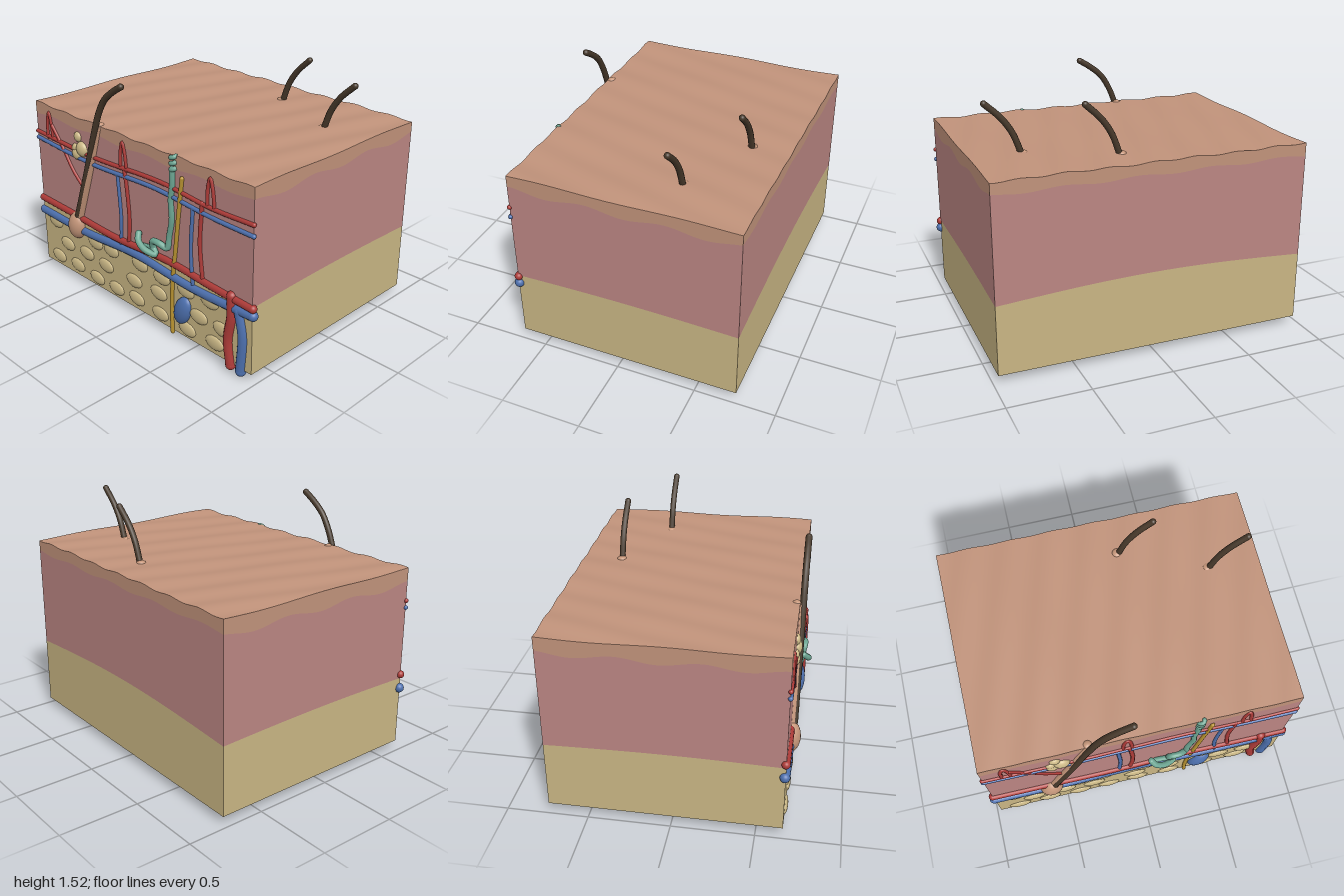
import * as THREE from 'three';

const mat = (name, color) => {
  const m = new THREE.MeshStandardMaterial({ color });
  m.name = name;
  return m;
};

export function createModel() {
  const M = {
    epidermis: mat('epidermis tan', 0xc0927a),
    dermis: mat('dermis pink', 0xba8582),
    fat: mat('fat yellow', 0xc8b583),
    lobule: mat('lobule cream', 0xcdba88),
    artery: mat('artery red', 0xad3b38),
    vein: mat('vein blue', 0x4d70ae),
    gland: mat('gland teal', 0x6ca592),
    nerve: mat('nerve gold', 0xb99331),
    hair: mat('hair brown', 0x46382a),
    follicle: mat('follicle skin', 0xc5967a),
  };
  const model = new THREE.Group();
  model.name = 'skinSection';

  const add = (name, geometry, material, parent = model) => {
    const mesh = new THREE.Mesh(geometry, material);
    mesh.name = name;
    parent.add(mesh);
    return mesh;
  };

  const ball = (name, [x, y, z], [rx, ry, rz], material, tilt = 0, parent = model) => {
    const mesh = add(name, new THREE.SphereGeometry(1, 24, 16), material, parent);
    mesh.position.set(x, y, z);
    mesh.scale.set(rx, ry, rz);
    mesh.rotation.z = tilt;
    return mesh;
  };

  // Smooth round-ended tube; points are [x, y] or [x, y, z]
  const tube = (name, points, r, material, z = 0.66, segments = 48) => {
    const group = new THREE.Group();
    group.name = name;
    model.add(group);
    const pts = points.map((p) => new THREE.Vector3(p[0], p[1], p[2] ?? z));
    const curve = new THREE.CatmullRomCurve3(pts);
    add(name + 'Body', new THREE.TubeGeometry(curve, segments, r, 12), material, group);
    for (const p of [pts[0], pts[pts.length - 1]])
      ball(name + 'End', p.toArray(), [r, r, r], material, 0, group);
  };

  // Tissue layers: boxes whose top and bottom follow wavy surfaces
  const base = () => 0.05;
  const fatTop = (x, z) =>
    0.49 + 0.015 * Math.cos(2 * z) + 0.045 * Math.cos(x * 1.62) * (0.66 - z) / 1.41 - 0.01;
  const dermisTop = (x, z) =>
    1.108 + 0.015 * Math.cos((z - 0.18) * 13) + 0.008 * Math.sin(x * 14);
  const skinTop = (x, z) => 1.197 + 0.005 * Math.sin(24 * x + 7 * z) + 0.002 * Math.sin(9 * x - 4 * z);

  const layer = (name, bottom, top, material) => {
    const g = new THREE.BoxGeometry(1.94, 1, 1.41, 72, 1, 48);
    g.translate(0, 0, -0.045);
    const p = g.attributes.position;
    for (let i = 0; i < p.count; i++) {
      const edge = p.getY(i) > 0 ? top : bottom;
      p.setY(i, edge(p.getX(i), p.getZ(i)));
    }
    g.computeVertexNormals();
    add(name, g, material);
  };
  layer('fatLayer', base, fatTop, M.fat);
  layer('dermisLayer', fatTop, dermisTop, M.dermis);
  layer('epidermisLayer', dermisTop, skinTop, M.epidermis);

  // Fat lobules in rows on the cut face
  const rows = [
    [0.115, [-0.83, -0.62, -0.41, -0.21, -0.01, 0.21, 0.45, 0.68]],
    [0.245, [-0.72, -0.51, -0.31, -0.03, 0.2, 0.55, 0.74]],
    [0.375, [-0.84, -0.62, -0.41, -0.25, 0.03, 0.23, 0.44, 0.64]],
  ];
  for (const [y, xs] of rows)
    xs.forEach((x, i) =>
      ball('fatLobule', [x, y + 0.008 * Math.sin(i * 2), 0.66], [0.073, 0.046, 0.018], M.lobule, 0.06 * Math.sin(i * 3)));

  // Horizontal vessels
  tube('deepArtery', [[-0.97, 0.51], [-0.6, 0.5], [-0.2, 0.485], [0.3, 0.51], [0.65, 0.49], [0.97, 0.478]], 0.025, M.artery, 0.657);
  tube('deepVein', [[-0.97, 0.42], [-0.5, 0.412], [0, 0.442], [0.5, 0.413], [0.97, 0.432]], 0.03, M.vein, 0.655);
  tube('upperArtery', [[-0.97, 0.992], [-0.4, 0.972], [0.25, 1.0], [0.65, 0.975], [0.97, 0.985]], 0.014, M.artery);
  tube('upperVein', [[-0.97, 0.948], [-0.4, 0.922], [0.2, 0.946], [0.65, 0.92], [0.97, 0.918]], 0.014, M.vein);

  // Downward trunks
  tube('arteryTrunk', [[0.815, 0.495], [0.815, 0.36], [0.79, 0.2], [0.81, 0.04]], 0.031, M.artery);
  tube('veinTrunk', [[0.87, 0.42], [0.9, 0.27], [0.885, 0.033]], 0.033, M.vein, 0.655);

  // Connecting vessels
  tube('arteryBranch', [[-0.065, 0.5], [-0.05, 0.65], [-0.065, 0.88], [-0.08, 0.98]], 0.014, M.artery);
  tube('arteryBranch', [[0.585, 0.5], [0.565, 0.73], [0.585, 0.98]], 0.014, M.artery);
  tube('follicleArtery', [[-0.8, 1.07], [-0.69, 0.94], [-0.6, 0.82], [-0.51, 0.74]], 0.013, M.artery);
  tube('veinBranch', [[-0.14, 0.45], [-0.13, 0.65], [-0.148, 0.93]], 0.013, M.vein);
  tube('veinBranch', [[0.505, 0.42], [0.49, 0.65], [0.51, 0.93]], 0.013, M.vein);

  // Capillary loops
  for (const x of [-0.83, -0.09, 0.65])
    tube('capillaryLoop', [[x - 0.025, 0.98], [x - 0.02, 1.09], [x, 1.15], [x + 0.018, 1.09], [x + 0.03, 0.98]], 0.012, M.artery);

  // Cut follicle with its bulb and hair
  tube('follicleSheath', [[-0.57, 0.48, 0.655], [-0.44, 0.84, 0.655], [-0.325, 1.175, 0.64]], 0.035, M.follicle);
  ball('hairBulb', [-0.588, 0.435, 0.66], [0.073, 0.097, 0.06], M.follicle, -0.2);
  tube('mainHair', [[-0.56, 0.52], [-0.44, 0.85], [-0.325, 1.18], [-0.28, 1.29], [-0.22, 1.385], [-0.14, 1.452], [-0.063, 1.5]], 0.02, M.hair, 0.677);

  // Free hairs on the surface
  for (const [x, z] of [[0.14, -0.51], [0.66, -0.285]]) {
    tube('surfaceHair', [[x - 0.02, 1.15], [x, 1.2], [x + 0.045, 1.315], [x + 0.11, 1.41], [x + 0.205, 1.5]], 0.019, M.hair, z);
    ball('hairCollar', [x - 0.015, 1.19, z], [0.03, 0.018, 0.03], M.follicle);
  }

  // Oil gland
  for (const [x, y, r] of [[-0.53, 1.067, 0.033], [-0.49, 0.995, 0.05], [-0.55, 0.95, 0.04], [-0.56, 0.985, 0.03]])
    ball('oilGlandLobe', [x, y, 0.66], [r, r, r * 0.65], M.lobule);

  // Sweat gland: spiral pore, straight duct, coiled end
  const spiral = [];
  for (let i = 0; i <= 20; i++) {
    const a = (i / 20) * Math.PI * 5;
    spiral.push([0.352 + 0.017 * Math.cos(a), 1.195 - 0.0045 * i, 0.655 + 0.015 * Math.sin(a)]);
  }
  tube('sweatPore', spiral, 0.014, M.gland, 0.66, 100);
  tube('sweatDuct', [
    [0.345, 1.11], [0.345, 1.02], [0.33, 0.92], [0.335, 0.8], [0.31, 0.68], [0.295, 0.6, 0.67],
    [0.25, 0.62, 0.69], [0.195, 0.615, 0.69], [0.185, 0.565, 0.68], [0.215, 0.535, 0.69],
    [0.15, 0.555, 0.72], [0.09, 0.59, 0.715], [0.065, 0.62, 0.69],
  ], 0.02, M.gland, 0.66, 120);
  tube('sweatCoilTail', [[0.08, 0.535, 0.67], [0.12, 0.545, 0.675], [0.17, 0.555, 0.68]], 0.017, M.gland);

  // Nerve and pressure sensor
  tube('nerve', [[0.428, 1.08], [0.395, 0.85], [0.365, 0.62], [0.335, 0.4], [0.322, 0.2], [0.326, 0.04]], 0.013, M.nerve, 0.665);
  ball('pressureSensor', [0.415, 0.225, 0.66], [0.062, 0.105, 0.04], M.vein, -0.42);

  return model;
}
